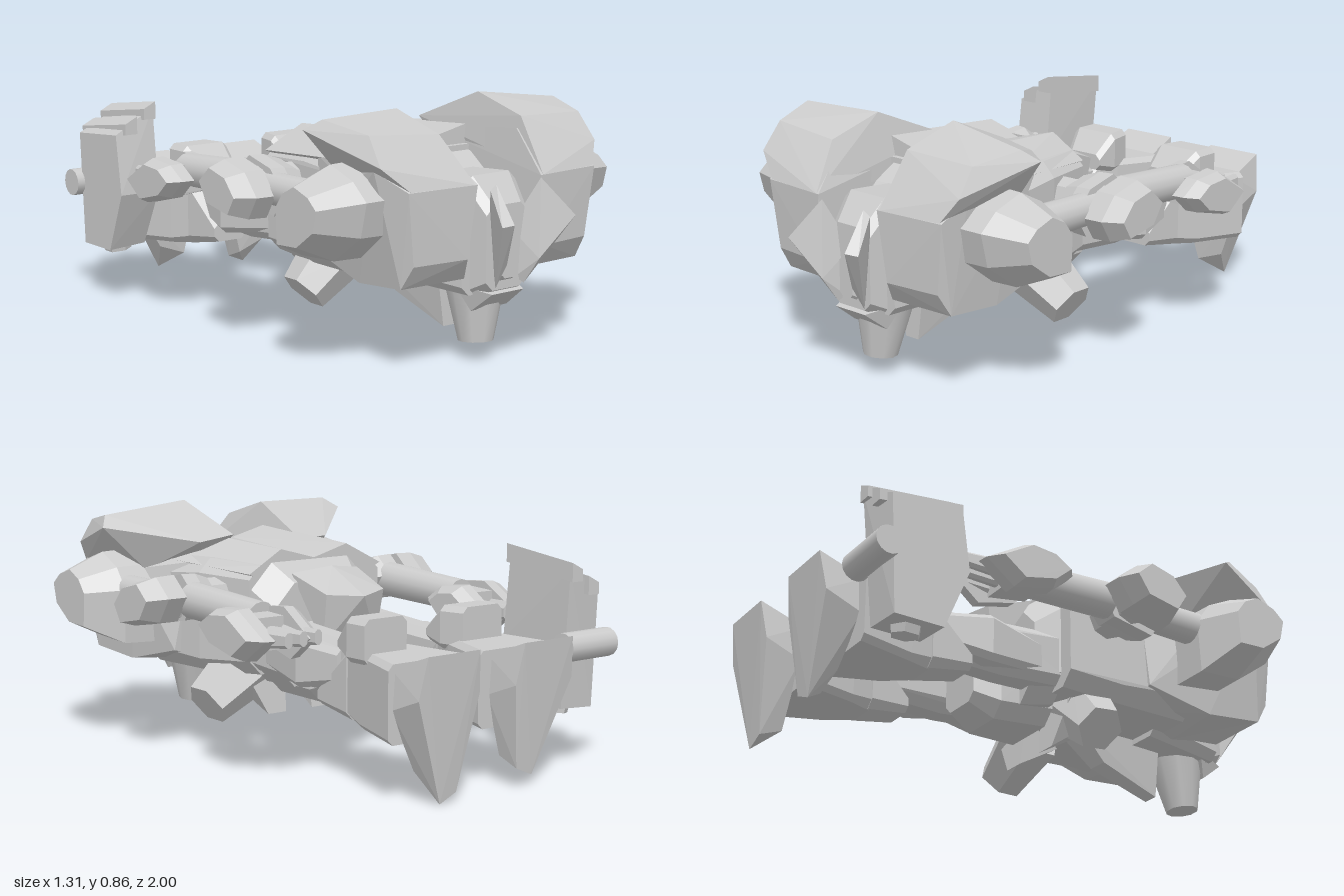
import * as THREE from 'three';
import { ConvexGeometry } from 'three/addons/geometries/ConvexGeometry.js';

const flat = new THREE.MeshStandardMaterial({ color: 0xcccccc, flatShading: true });
const smooth = new THREE.MeshStandardMaterial({ color: 0xcccccc });

export function createModel() {
  const root = new THREE.Group();
  root.name = 'proneRobot';

  const add = (name, geometry, material = flat) => {
    const mesh = new THREE.Mesh(geometry, material);
    mesh.name = name;
    root.add(mesh);
    return mesh;
  };

  // Faceted solid around corner points; s mirrors it across x
  const solid = (name, points, s = 1) =>
    add(name, new ConvexGeometry(points.map(([x, y, z]) => new THREE.Vector3(x * s, y, z))));

  // Chamfered block running along z through sections [z, x0, x1, y0, y1, chamfer]
  const block = (name, sections, s = 1) => solid(name, sections.flatMap(([z, x0, x1, y0, y1, c]) => [
    [x0 + c, y0, z], [x1 - c, y0, z], [x1, y0 + c, z], [x1, y1 - c, z],
    [x1 - c, y1, z], [x0 + c, y1, z], [x0, y1 - c, z], [x0, y0 + c, z]]), s);

  // Plate between x0 and x1 with a [z, y] outline, its outer face shrunk by k
  const plate = (name, x0, x1, outline, s = 1, k = 0.75) => {
    const n = outline.length;
    const cz = outline.reduce((a, p) => a + p[0], 0) / n;
    const cy = outline.reduce((a, p) => a + p[1], 0) / n;
    const inset = (x, f) => outline.map(([z, y]) => [x, cy + (y - cy) * f, cz + (z - cz) * f]);
    const mid = x0 + (x1 - x0) * 0.5;
    return solid(name, [...inset(x0, 1), ...inset(mid, 0.97), ...inset(x1, k)], s);
  };

  // Round rod between two points
  const rod = (name, a, b, r0, r1 = r0, sides = 14, s = 1) => {
    const p = new THREE.Vector3(a[0] * s, a[1], a[2]);
    const q = new THREE.Vector3(b[0] * s, b[1], b[2]);
    const mesh = add(name, new THREE.CylinderGeometry(r1, r0, p.distanceTo(q), sides), sides > 8 ? smooth : flat);
    mesh.position.copy(p).lerp(q, 0.5);
    mesh.quaternion.setFromUnitVectors(new THREE.Vector3(0, 1, 0), q.sub(p).normalize());
  };

  // Torso with a back that dips along its centre line
  block('torso', [[0.5, -0.36, 0.36, 0.27, 0.68, 0.07], [0.2, -0.34, 0.32, 0.27, 0.68, 0.05],
    [-0.02, -0.33, 0.26, 0.28, 0.67, 0.05]]);
  for (const s of [1, -1]) {
    const back = (z, x, w, y) => [[-0.03, y - 0.04, z], [x, y, z], [w, y - 0.08, z], [-0.03, 0.5, z]];
    solid('backSlab', (s > 0 ? [...back(0.48, 0.16, 0.34, 0.75), ...back(-0.02, 0.12, 0.26, 0.72)]
      : [...back(0.48, -0.19, -0.36, 0.75), ...back(-0.02, -0.18, -0.34, 0.72)]));
  }

  // Chest with collar and front boss
  block('chest', [[0.45, -0.2, 0.2, 0.25, 0.68, 0.04], [0.6, -0.17, 0.15, 0.25, 0.62, 0.04],
    [0.78, -0.14, 0.14, 0.24, 0.46, 0.03]]);
  rod('chestBoss', [0, 0.29, 0.69], [-0.01, 0.06, 0.71], 0.11, 0.06, 10);

  // Head with face block and jaw
  block('head', [[0.58, -0.1, 0.1, 0.3, 0.62, 0.03], [0.76, -0.11, 0.11, 0.22, 0.63, 0.03],
    [0.84, -0.09, 0.09, 0.26, 0.54, 0.03]]);
  solid('jaw', [[-0.12, 0.27, 0.72], [0.12, 0.27, 0.72], [-0.08, 0.18, 0.76], [0.08, 0.18, 0.76],
    [-0.07, 0.25, 0.85], [0.07, 0.25, 0.85]]);
  block('forehead', [[0.8, -0.05, 0.05, 0.27, 0.38, 0.01], [0.86, -0.035, 0.025, 0.3, 0.43, 0.01]]);

  // Waist, pelvis and rear guard
  block('waist', [[0, -0.28, 0.26, 0.25, 0.69, 0.09], [-0.11, -0.24, 0.22, 0.24, 0.61, 0.09]]);
  solid('rearGuard', [[-0.15, 0.64, -0.08], [0.15, 0.64, -0.08], [-0.13, 0.58, -0.25], [0.13, 0.58, -0.25],
    [0, 0.57, -0.3], [0, 0.66, -0.12], [-0.12, 0.4, -0.22], [0.12, 0.4, -0.22]]
    .map(([x, y, z]) => [x - 0.03, y, z]));
  block('pelvis', [[0.02, -0.16, 0.14, 0.2, 0.5, 0.05], [-0.18, -0.14, 0.12, 0.19, 0.45, 0.05],
    [-0.27, -0.1, 0.08, 0.24, 0.4, 0.03]]);
  solid('bellyKeel', [[-0.06, 0.29, 0.57], [0.06, 0.29, 0.57], [-0.03, 0.08, 0.57], [0.03, 0.08, 0.57],
    [-0.06, 0.28, 0.2], [0.06, 0.28, 0.2], [-0.04, 0.16, 0.33], [0.04, 0.16, 0.33]]);

  for (const s of [1, -1]) {
    const right = s < 0;

    // Crest blades spreading from the brow, the right one swept closer in
    solid('crestBlade', [[0.05, 0.29, 0.83], [0.07, 0.27, 0.85], [0.05, 0.45, 0.8], [0.11, 0.62, 0.88],
      [0.13, 0.6, 0.87], [0.15, 0.51, 1], [0.18, 0.5, 0.97], [0.08, 0.36, 0.91]]
      .map(([x, y, z]) => [right ? x * 0.8 : x, y, z]), s);

    // Broad shoulder armour with an overhanging crown, leaning slightly to the right
    const lean = points => points.map(([x, y, z]) => [
      x - s * (y > 0.65 ? 0.02 : 0), y + (right && y > 0.7 ? (x - 0.42) * 0.11 : 0), z]);
    solid('shoulderArmour', lean([[0.13, 0.3, 0.78], [0.14, 0.62, 0.85], [0.41, 0.62, 0.83], [0.39, 0.3, 0.77],
      [0.17, 0.38, 0.84], [0.38, 0.38, 0.82], [0.15, 0.26, 0.55], [0.38, 0.28, 0.55],
      [0.17, 0.76, 0.72], [0.44, 0.68, 0.72], [0.16, 0.72, 0.28], [0.32, 0.66, 0.28],
      [0.2, 0.3, 0.3], [0.36, 0.34, 0.3], [0.41, 0.62, 0.5]]), s);
    solid('shoulderCrown', lean([[0.18, 0.86, 0.52], [0.55, 0.78, 0.5], [0.51, 0.82, 0.55], [0.47, 0.7, 0.79],
      [0.18, 0.8, 0.73], [0.46, 0.79, 0.72], [0.15, 0.62, 0.85], [0.4, 0.62, 0.83],
      [0.15, 0.75, 0.25], [0.29, 0.73, 0.26], [0.38, 0.62, 0.45], [0.16, 0.6, 0.4]]), s);

    // Faceted shoulder joint tapering outward
    plate('shoulderJoint', 0.36, right ? 0.655 : 0.635, [[0.56, 0.69], [0.68, 0.65], [0.75, 0.59],
      [0.72, 0.47], [0.58, 0.37], [0.41, 0.36], [0.4, 0.56], [0.46, 0.64]], s, 0.6);

    // Arm: rods with split elbow guards
    rod('upperArm', [0.46, 0.55, 0.48], [0.46, 0.55, 0.12], 0.06, 0.055, 14, s);
    const elbow = [[0.27, 0.54], [0.2, 0.62], [0.08, 0.65], [0, 0.58], [0.06, 0.49], [0.22, 0.46]];
    plate('outerElbowGuard', 0.51, 0.655, elbow, s);
    plate('innerElbowGuard', 0.48, 0.36, elbow, s);
    rod('elbowPin', [0.26, 0.55, 0.13], [0.55, 0.55, 0.13], 0.07, 0.07, 8, s);
    rod('forearm', [0.45, 0.56, 0.05], [0.45, 0.54, -0.34], 0.065, 0.06, 14, s);

    // Wrist guards and hand
    const wrist = [[-0.2, 0.53], [-0.28, 0.46], [-0.44, 0.42], [-0.55, 0.5], [-0.4, 0.59], [-0.28, 0.58]];
    plate('outerWristGuard', 0.53, 0.62, wrist.map(([z, y]) => [z + 0.02, y]), s);
    plate('innerWristGuard', 0.42, 0.34, wrist.map(([z, y]) => [z * 0.9 - 0.06, y]), s, 0.65);
    block('palm', [[-0.28, 0.41, 0.54, 0.47, 0.57, 0.02], [-0.42, 0.4, 0.55, 0.45, 0.56, 0.02]], s);
    for (let i = 0; i < 3; i++) {
      const x = 0.4 + i * 0.06;
      block('finger', [[-0.36, x, x + 0.04, 0.46, 0.53, 0.01], [-0.57, x - 0.02, x + 0.01, 0.48, 0.53, 0.01]], s);
    }

    // Side hip pod hanging outward, with a skirt plate
    rod('hipPod', [0.15, 0.29, 0.14], right ? [0.29, 0.155, 0.13] : [0.34, 0.165, 0.13], 0.12, 0.085, 6, s);
    solid('skirtPlate', [[0.05, 0.3, 0.05], [0.24, 0.3, 0.05], [0.06, 0.12, 0.03], [0.14, 0.12, 0.03],
      [0.07, 0.22, 0.2], [0.2, 0.24, 0.2]], s);

    // Legs, the right one set slightly wider at thigh and calf
    const leg = (name, o, sections) =>
      block(name, sections.map(([z, a, b, ...r]) => [z, a + o, b + o, ...r]), s);
    const wide = right ? 0.04 : 0;
    leg('thigh', right ? 0.02 : 0, [[0, 0.1, 0.25, 0.3, 0.5, 0.03], [-0.25, 0.12, 0.25, 0.28, 0.47, 0.03],
      [-0.55, 0.12, 0.24, 0.29, 0.46, 0.03]]);
    leg('thighGuard', wide / 2, [[-0.1, 0.19, 0.25, 0.32, 0.44, 0.02], [-0.33, 0.18, 0.3, 0.29, 0.46, 0.02],
      [-0.5, 0.19, 0.26, 0.32, 0.44, 0.02]]);
    leg('knee', wide, [[-0.4, 0.12, 0.26, 0.24, 0.31, 0.02], [-0.56, 0.09, 0.27, 0.21, 0.46, 0.03]]);
    leg('calf', wide, [[-0.55, 0.1, 0.26, 0.21, 0.46, 0.03], [-0.65, 0.06, 0.29, 0.2, 0.46, 0.02],
      [-0.86, 0.0, 0.35, 0.19, 0.45, 0.02]]);
    leg('calfFin', right ? -0.03 : 0, [[-0.54, 0.13, 0.29, 0.44, 0.5, 0.02], [-0.62, 0.12, 0.32, 0.42, 0.57, 0.02],
      [-0.71, 0.14, 0.32, 0.42, 0.57, 0.02]]);

    // Foot: tapering slab with the toe pointing down
    solid('foot', [[0.08, 0.43, -0.84], [0.32, 0.43, -0.84], [0.09, 0.49, -1], [0.31, 0.49, -1],
      [0.07, 0.35, -0.98], [0.33, 0.35, -0.98], [0.07, 0.3, -0.85], [0.33, 0.3, -0.85],
      [0.14, 0.06, -0.87], [0.25, 0.1, -0.87], [0.14, 0.03, -0.95], [0.21, 0, -0.95]]
      .map(([x, y, z]) => (right ? [x + (y < 0.2 ? -0.01 : 0.02), y < 0.2 ? y + 0.035 : y, z] : [x, y, z])), s);
  }

  // Hand-held blaster on the right arm, its top sloping down outward
  solid('blasterBody', [[-0.58, 0.64, -0.62], [-0.42, 0.73, -0.62], [-0.58, 0.62, -0.88], [-0.42, 0.69, -0.9],
    [-0.58, 0.42, -0.59], [-0.42, 0.42, -0.59], [-0.58, 0.2, -0.68], [-0.43, 0.21, -0.68],
    [-0.58, 0.2, -0.86], [-0.43, 0.21, -0.86]]);
  for (const [x, y] of [[-0.55, 0], [-0.47, 0.05]]) {
    solid('blasterRail', [0, 0.05].flatMap(d => [[x + d, 0.68 + y + d / 2, -0.6], [x + d, 0.64 + y + d / 2, -0.91],
      [x + d, 0.64 + y, -0.6], [x + d, 0.6 + y, -0.91]]));
  }
  rod('blasterGrip', [-0.61, 0.43, -0.9], [-0.39, 0.43, -0.9], 0.05);
  rod('blasterMuzzle', [-0.5, 0.25, -0.77], [-0.49, 0.18, -0.77], 0.06, 0.05, 6);
  return root;
}
